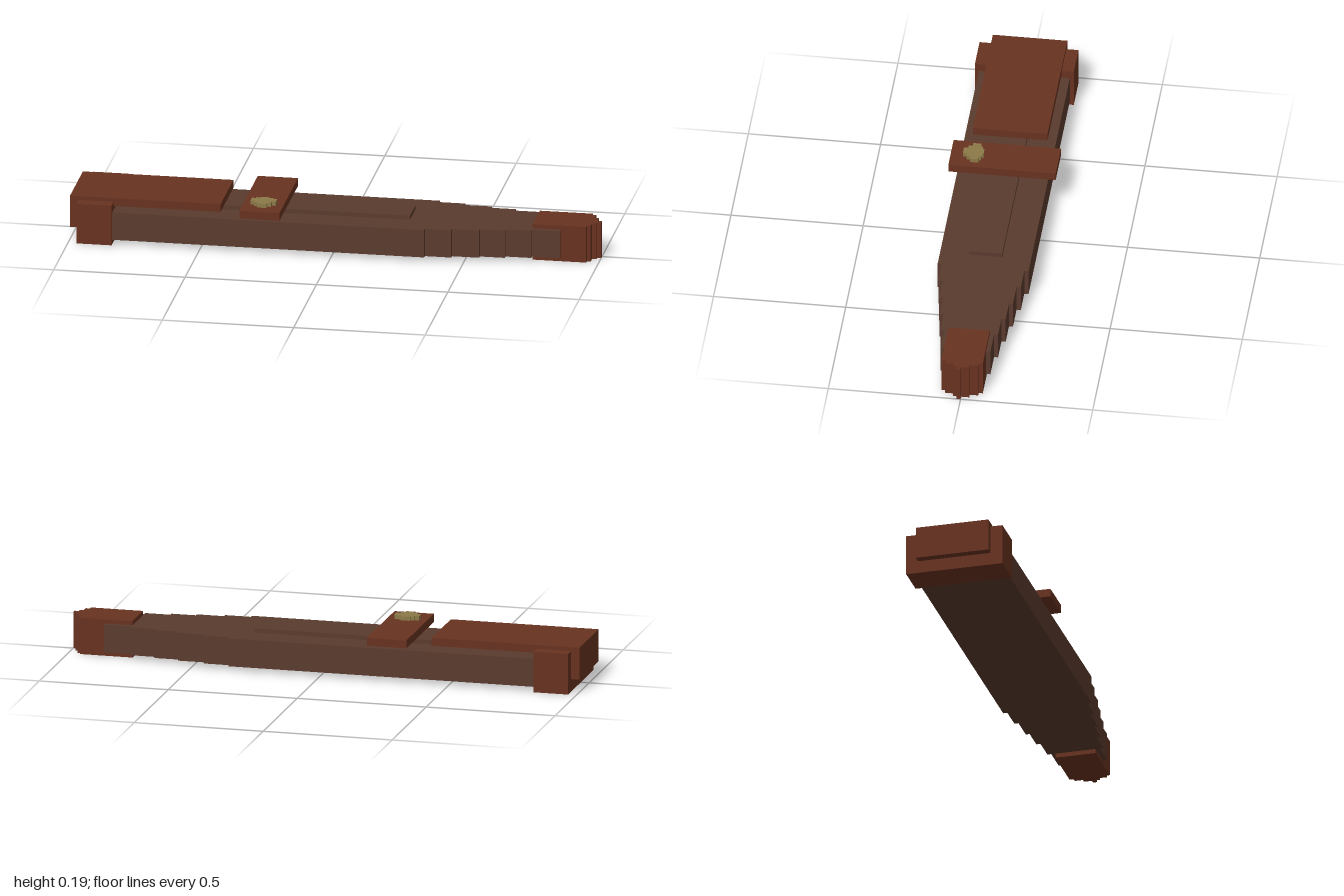
import * as THREE from 'three';

const mat = (name, color) => {
  const m = new THREE.MeshStandardMaterial({ color });
  m.name = name;
  return m;
};

export function createModel() {
  const group = new THREE.Group();
  const leather = mat('brown leather', 0x5a3b2e);
  const trim = mat('red brown trim', 0x683220);
  const gold = mat('dull gold', 0x8c7a48);

  const add = (name, geometry, material) => {
    const mesh = new THREE.Mesh(geometry, material);
    mesh.name = name;
    group.add(mesh);
  };

  // Box given by its limits on each axis
  const box = (name, material, [x0, x1], [y0, y1], [z0, z1]) => {
    const g = new THREE.BoxGeometry(x1 - x0, y1 - y0, z1 - z0);
    g.translate((x0 + x1) / 2, (y0 + y1) / 2, (z0 + z1) / 2);
    add(name, g, material);
  };

  // Stepped slab: each step is [end x, far z, near z], extruded upwards
  const stepped = (name, material, startX, steps, y0, y1) => {
    const near = [], far = [];
    let x = startX;
    for (const [end, zMin, zMax] of steps) {
      near.push(new THREE.Vector2(x, -zMax), new THREE.Vector2(end, -zMax));
      far.unshift(new THREE.Vector2(end, -zMin), new THREE.Vector2(x, -zMin));
      x = end;
    }
    const g = new THREE.ExtrudeGeometry(new THREE.Shape([...near, ...far]), { depth: y1 - y0, bevelEnabled: false });
    g.rotateX(-Math.PI / 2);
    g.translate(0, y0, 0);
    add(name, g, material);
  };
  const even = (list) => list.map(([x, half]) => [x, -half, half]);

  // Leather sheath narrowing in steps, with a raised spine
  stepped('sheathBody', leather, -0.9, even([
    [0.353, 0.172], [0.453, 0.156], [0.557, 0.14], [0.652, 0.125], [0.75, 0.109], [0.856, 0.094],
  ]), 0.017, 0.125);
  box('raisedSpine', leather, [-0.9, 0.28], [0.12, 0.141], [-0.063, 0.063]);

  // Tip cap
  stepped('tipCap', trim, 0.75, [
    ...even([[0.953, 0.078], [0.968, 0.0625], [0.984, 0.031]]), [1, 0, 0.016],
  ], 0, 0.141);

  // Throat block, top plate and its end flap
  box('throat', trim, [-0.968, -0.834], [0, 0.157], [-0.187, 0.187]);
  box('topPlate', trim, [-1, -0.427], [0.141, 0.172], [-0.141, 0.141]);
  box('endFlap', trim, [-1, -0.96], [0.048, 0.145], [-0.141, 0.141]);

  // Cross strap and its stud
  box('crossStrap', trim, [-0.345, -0.192], [0.141, 0.172], [-0.203, 0.203]);
  stepped('stud', gold, -0.316, [
    [-0.3, 0.093, 0.125], [-0.285, 0.085, 0.14], [-0.25, 0.078, 0.156],
    [-0.235, 0.085, 0.14], [-0.22, 0.093, 0.125],
  ], 0.172, 0.188);

  return group;
}
